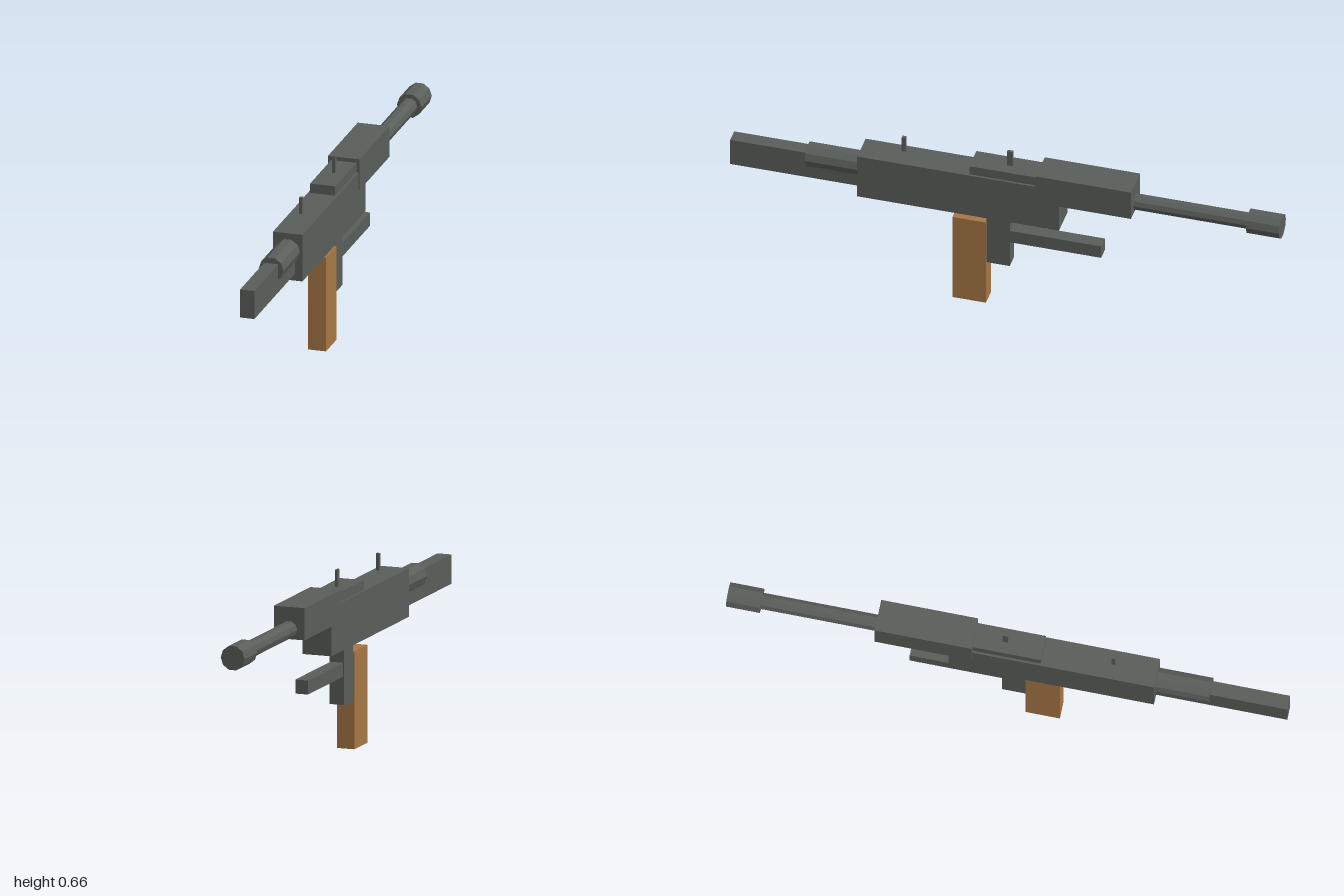
import * as THREE from 'three';

export function createModel() {
  const model = new THREE.Group();

  const steel = new THREE.MeshStandardMaterial({ color: 0x5a5e5a });
  steel.name = 'steel';
  steel.flatShading = true;
  const wood = new THREE.MeshStandardMaterial({ color: 0xa67745 });
  wood.name = 'wood';
  wood.flatShading = true;

  // Box centred on x = 0, from y and z limits
  function box(name, width, y0, y1, z0, z1, material = steel) {
    const mesh = new THREE.Mesh(new THREE.BoxGeometry(width, y1 - y0, z1 - z0), material);
    mesh.position.set(0, (y0 + y1) / 2, (z0 + z1) / 2);
    mesh.name = name;
    model.add(mesh);
  }

  // Ten-sided tube along z, with corners at its left and right
  function tube(name, radius, y, z0, z1) {
    const geometry = new THREE.CylinderGeometry(radius, radius, z1 - z0, 10);
    geometry.rotateY(Math.PI / 2).rotateX(Math.PI / 2);
    const mesh = new THREE.Mesh(geometry, steel);
    mesh.position.set(0, y, (z0 + z1) / 2);
    mesh.name = name;
    model.add(mesh);
  }

  // Body
  box('receiver', 0.108, 0.386, 0.56, -0.203, 0.53);
  box('topCover', 0.092, 0.55, 0.595, -0.12, 0.125);
  box('handguard', 0.116, 0.494, 0.609, -0.466, -0.12);

  // Stock
  box('stock', 0.052, 0.411, 0.516, 0.53, 1);
  tube('stockTube', 0.045, 0.494, 0.53, 0.723);

  // Barrel
  tube('barrel', 0.03, 0.529, -0.88, -0.466);
  tube('muzzle', 0.045, 0.529, -1, -0.88);

  // Sights
  box('nearSight', 0.012, 0.579, 0.639, 0.368, 0.382);
  box('farSight', 0.01, 0.59, 0.656, -0.021, -0.001);

  // Grip, support block and lower bar
  box('grip', 0.066, 0, 0.35, 0.068, 0.19, wood);
  box('supportBlock', 0.056, 0.174, 0.388, -0.017, 0.068);
  box('lowerBar', 0.048, 0.275, 0.325, -0.348, -0.017);

  return model;
}
